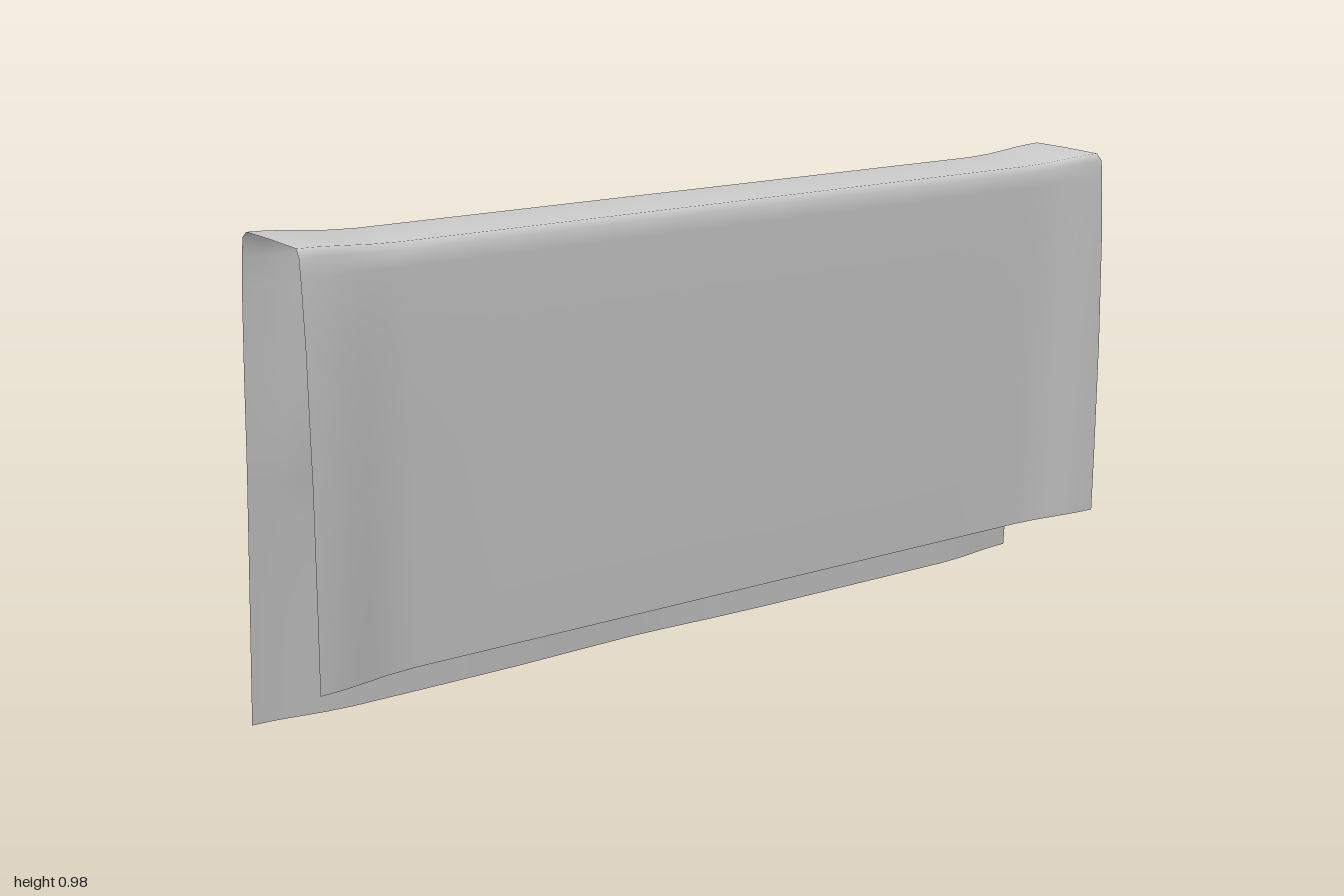
import * as THREE from 'three';

// Cross-sections [x, y], from the long hem up, over the top and down to the short hem.
const middle = [
  [-0.134, 0], [-0.126, 0.2], [-0.12, 0.38], [-0.115, 0.49], [-0.099, 0.535], [-0.09, 0.66],
  [-0.077, 0.86], [-0.083, 0.925], [-0.081, 0.953], [-0.068, 0.965], [0.02, 0.963], [0.105, 0.964],
  [0.118, 0.95], [0.12, 0.92], [0.121, 0.8], [0.118, 0.55], [0.114, 0.3], [0.111, 0.15],
];
const end = [
  [-0.143, 0.007], [-0.132, 0.2], [-0.122, 0.38], [-0.116, 0.49], [-0.113, 0.55], [-0.108, 0.7],
  [-0.1, 0.87], [-0.094, 0.93], [-0.088, 0.968], [-0.072, 0.98], [0.02, 0.979], [0.117, 0.976],
  [0.126, 0.96], [0.13, 0.92], [0.138, 0.8], [0.144, 0.55], [0.143, 0.3], [0.141, 0.15],
];

const stations = [1, 0.96, 0.92, 0.88, 0.84, 0.78, 0.6, 0.4, 0.25, 0.1, 0];
const zs = [...stations, ...stations.slice(0, -1).reverse().map((z) => -z)];

function clothGeometry() {
  const rows = middle.length - 1;
  const cols = zs.length - 1;
  const geometry = new THREE.PlaneGeometry(1, 1, cols, rows);
  const pos = geometry.attributes.position;
  for (let r = 0; r <= rows; r++) {
    for (let c = 0; c <= cols; c++) {
      const z = zs[c];
      // The ends flare out; the middle hugs the form beneath
      const flare = THREE.MathUtils.smoothstep(Math.abs(z), 0.78, 1);
      const onShortSide = r > 11;
      const amount = onShortSide && z < 0 ? flare * 0.75 : flare;
      let x = THREE.MathUtils.lerp(middle[r][0], end[r][0], amount);
      let y = THREE.MathUtils.lerp(middle[r][1], end[r][1], flare);
      // Gentle wave in the long hem, and a slight slope of the short hem
      if (r < 3) x -= 0.012 * (1 - r / 3) * Math.exp(-(((z - 0.1) / 0.2) ** 2));
      if (r === rows) y += 0.005 * (1 - z) / 2;
      // The back edge hangs a touch short
      const back = z === -1 && !onShortSide ? -0.992 : z;
      pos.setXYZ(r * (cols + 1) + c, x, y, back);
    }
  }
  geometry.computeVertexNormals();
  return geometry;
}

export function createModel() {
  const group = new THREE.Group();
  group.name = 'drapedCloth';
  const cloth = new THREE.Mesh(
    clothGeometry(),
    new THREE.MeshStandardMaterial({ color: 0xcccccc, side: THREE.DoubleSide }),
  );
  cloth.name = 'cloth';
  group.add(cloth);
  return group;
}
